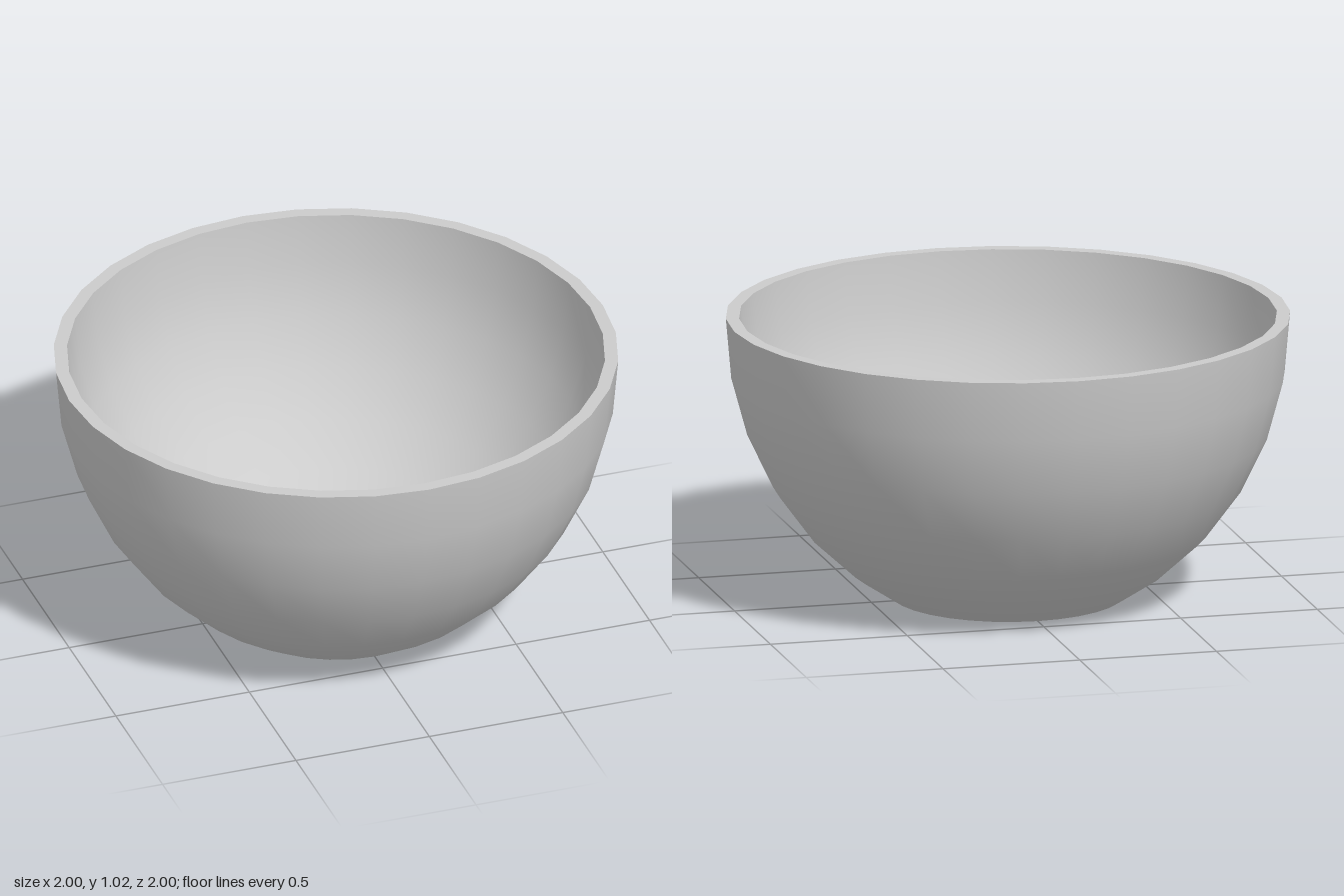
import * as THREE from 'three';

const SIDES = 32;
const RIM_Y = 1.017;
const INNER_R = 0.953;
const FOOT_R = 0.415;
const STEP = Math.PI / 16;

export function createModel() {
  const bowl = new THREE.Group();
  bowl.name = 'bowl';
  const material = new THREE.MeshStandardMaterial({ color: 0xcccccc, side: THREE.DoubleSide });

  // Each surface is its own lathe, so edges between them stay sharp
  const addLathe = (name, points) => {
    const mesh = new THREE.Mesh(new THREE.LatheGeometry(points, SIDES), material);
    mesh.name = name;
    bowl.add(mesh);
  };
  // Point on a dome hanging below the rim, i steps down from it
  const domePoint = (radius, depth, i) => new THREE.Vector2(
    i === 8 ? 0 : radius * Math.cos(i * STEP), RIM_Y - depth * Math.sin(i * STEP));

  const foot = new THREE.Vector2(FOOT_R, 0);

  // Outer wall: slightly stretched dome, cut flat at the foot
  const outer = [foot];
  for (let i = 5; i >= 0; i--) outer.push(domePoint(1, 1.113, i));
  addLathe('outerWall', outer);

  // Flat rim
  addLathe('rim', [new THREE.Vector2(1, RIM_Y), new THREE.Vector2(INNER_R, RIM_Y)]);

  // Round hollow
  const inner = [];
  for (let i = 0; i <= 8; i++) inner.push(domePoint(INNER_R, INNER_R, i));
  addLathe('innerWall', inner);

  // Flat underside
  addLathe('base', [new THREE.Vector2(0, 0), foot]);

  return bowl;
}
